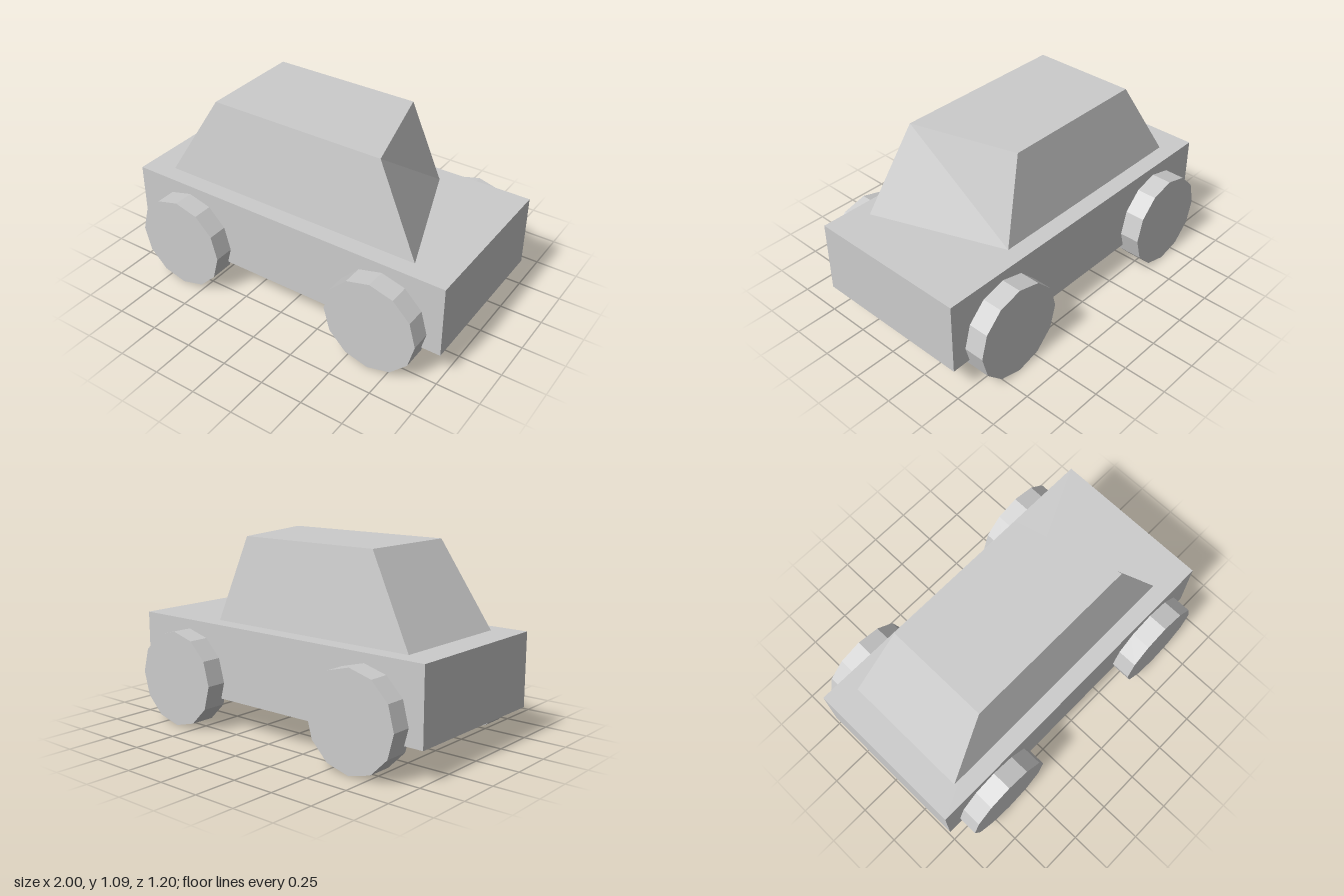
import * as THREE from 'three';

const material = new THREE.MeshStandardMaterial({ color: 0xcccccc, flatShading: true });

function addMesh(group, name, geometry, x, y, z) {
  const mesh = new THREE.Mesh(geometry, material);
  mesh.name = name;
  mesh.position.set(x, y, z);
  group.add(mesh);
  return mesh;
}

// Box tapered towards the roof, with a skewed end on the +x side
function cabinGeometry() {
  const height = 0.485;
  const geometry = new THREE.BoxGeometry(2, height, 2);
  const p = geometry.attributes.position;
  for (let i = 0; i < p.count; i++) {
    const top = p.getY(i) > 0;
    const front = p.getZ(i) > 0;
    let x = top ? -0.55 : -0.835;
    if (p.getX(i) > 0) x = top ? (front ? 0.505 : 0.335) : (front ? 0.77 : 0.49);
    p.setXYZ(i, x, top ? height : 0, (front ? 1 : -1) * (top ? 0.305 : 0.38));
  }
  // Fold the slightly twisted end from its upper front to its lower back corner
  [0, 2, 3, 0, 3, 1].forEach((v, i) => geometry.index.setX(i, v));
  const flat = geometry.toNonIndexed();
  flat.computeVertexNormals();
  return flat;
}

export function createModel() {
  const car = new THREE.Group();
  car.name = 'car';

  addMesh(car, 'body', new THREE.BoxGeometry(2, 0.425, 0.96), 0, 0.3925, 0);
  addMesh(car, 'cabin', cabinGeometry(), 0, 0.605, 0);

  // Four twelve-sided wheels, each with a corner at the bottom
  const wheel = new THREE.CylinderGeometry(0.276, 0.276, 0.143, 12).rotateX(Math.PI / 2);
  for (const sx of [-1, 1]) {
    for (const sz of [-1, 1]) {
      const name = (sz > 0 ? 'front' : 'back') + (sx > 0 ? 'Left' : 'Right') + 'Wheel';
      addMesh(car, name, wheel, sx * 0.638, 0.276, sz * 0.526);
    }
  }
  return car;
}
